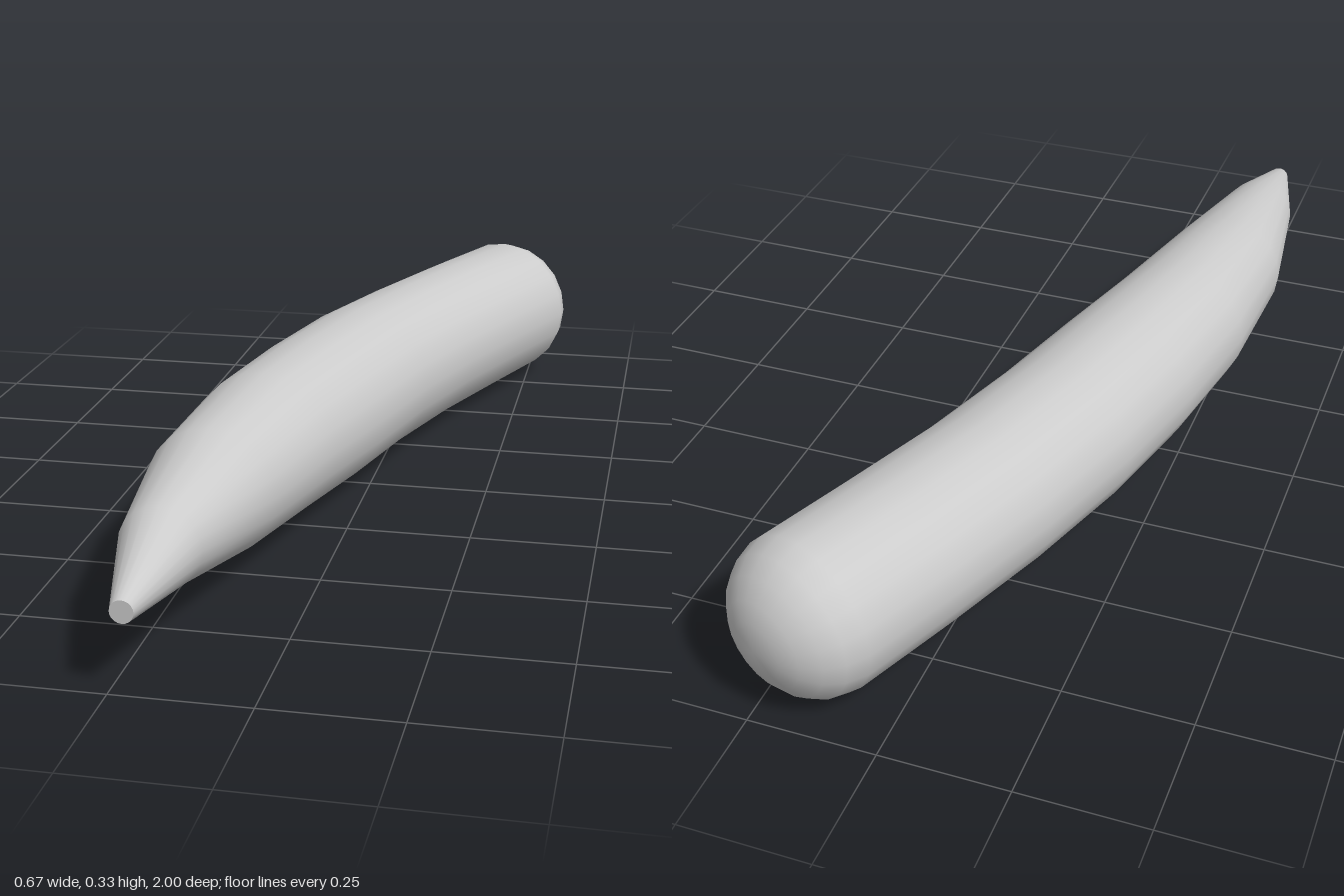
import * as THREE from 'three';

const SIDES = 20;

// Stations along the body, tip to butt: centre x, y, z, radius, yaw
const stations = [
  [-0.218, 0.156, 1.0, 0.021, 0],
  [-0.22, 0.174, 0.78, 0.077, 0],
  [-0.207, 0.168, 0.505, 0.128, 0.03],
  [-0.17, 0.167, 0.235, 0.152, 0.07],
  [-0.12, 0.166, 0.01, 0.161, 0.18],
  [-0.063, 0.167, -0.22, 0.163, 0.24],
  [0.012, 0.166, -0.45, 0.162, 0.31],
  [0.098, 0.166, -0.67, 0.162, 0.36],
  [0.182, 0.166, -0.875, 0.161, 0.36],
];

// Rounded butt: distance past the last station, radius
const dome = [[0.042, 0.148], [0.075, 0.124], [0.1, 0.09], [0.114, 0.055], [0.123, 0.0]];

function loft(rings) {
  const pos = [], index = [];
  for (const [x, y, z, r, yaw] of rings) {
    for (let i = 0; i < SIDES; i++) {
      const a = (i / SIDES) * Math.PI * 2, c = r * Math.cos(a);
      pos.push(x + c * Math.cos(yaw), y + r * Math.sin(a), z + c * Math.sin(yaw));
    }
  }
  // Rings run from front to back, counter-clockwise as seen from the front
  for (let k = 0; k < rings.length - 1; k++) {
    for (let i = 0; i < SIDES; i++) {
      const j = (i + 1) % SIDES;
      const a = k * SIDES + i, b = k * SIDES + j, c = a + SIDES, d = b + SIDES;
      if (k === rings.length - 2) continue;
      index.push(a, c, b, b, c, d);
    }
  }
  // Close the butt on a single pole vertex
  const pole = (rings.length - 1) * SIDES, last = pole - SIDES;
  for (let i = 0; i < SIDES; i++) index.push(last + i, pole, last + ((i + 1) % SIDES));

  const geo = new THREE.BufferGeometry();
  geo.setAttribute('position', new THREE.Float32BufferAttribute(pos, 3));
  geo.setIndex(index);
  geo.computeVertexNormals();
  return geo;
}

export function createModel() {
  const group = new THREE.Group();
  group.name = 'curvedTaperedRod';
  const material = new THREE.MeshStandardMaterial({ color: 0xcccccc });

  // Curved body with domed butt
  const [x, y, z, , yaw] = stations[stations.length - 1];
  const rings = stations.concat(
    dome.map(([d, r]) => [x + d * Math.sin(yaw), y, z - d * Math.cos(yaw), r, yaw])
  );
  const body = new THREE.Mesh(loft(rings), material);
  body.name = 'body';
  group.add(body);

  // Flat face closing the narrow tip
  const [tx, ty, tz, tr] = stations[0];
  const tip = new THREE.Mesh(new THREE.CircleGeometry(tr, SIDES), material);
  tip.name = 'tipFace';
  tip.position.set(tx, ty, tz);
  group.add(tip);

  return group;
}
